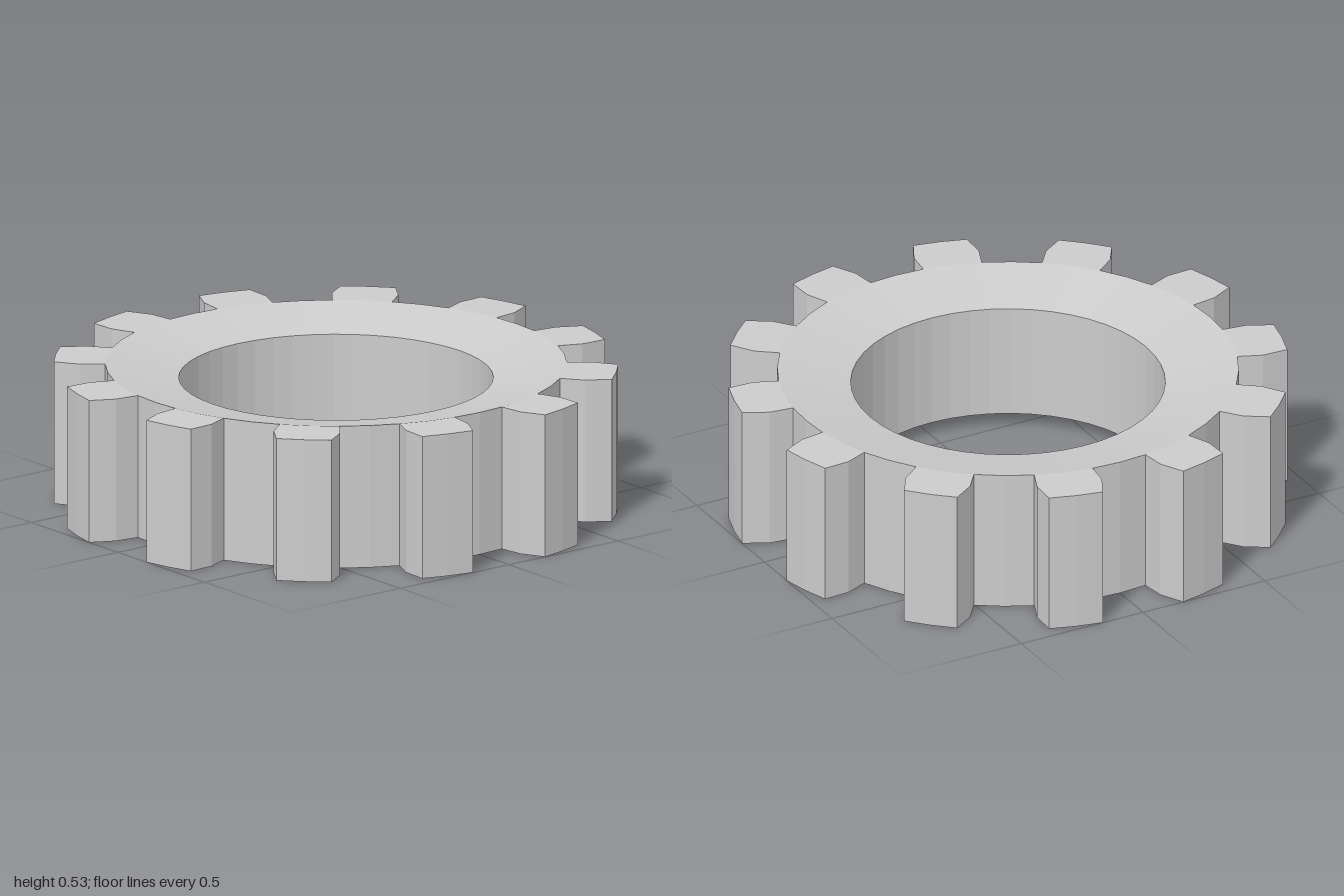
import * as THREE from 'three';

const TEETH = 12;
const HEIGHT = 0.53;
const DISH = 0.053; // how far the bore rims sink below the tooth faces
const R_BORE = 0.565, R_ROOT = 0.829, R_MID = 0.921, R_TIP = 1.0136;
const STEP = (Math.PI * 2) / (TEETH * 4);

// Point on a circle, angle measured from +z towards +x
const at = (r, angle, y) => [r * Math.sin(angle), y, r * Math.cos(angle)];

function quadGeometry(quads) {
  const pos = [];
  for (const [a, b, c, d] of quads) pos.push(...a, ...b, ...c, ...a, ...c, ...d);
  const g = new THREE.BufferGeometry();
  g.setAttribute('position', new THREE.Float32BufferAttribute(pos, 3));
  g.computeVertexNormals();
  return g;
}

// Upright walls along an outline of [radius, angle] pairs
function walls(outline) {
  return outline.slice(1).map((b, i) => {
    const a = outline[i];
    return [at(...a, 0), at(...b, 0), at(...b, HEIGHT), at(...a, HEIGHT)];
  });
}

// One tooth centred on +z: three rows of points from root to tapered tip
function toothGeometry() {
  const rows = [[R_ROOT, STEP], [R_MID, STEP], [R_TIP, STEP * 0.75]]
    .map(([r, half]) => [-half, 0, half].map((angle) => [r, angle]));
  const [root, mid, tip] = rows;
  const quads = walls([root[0], mid[0], ...tip, mid[2], root[2]]);
  for (let r = 0; r < 2; r++) {
    for (let i = 0; i < 2; i++) {
      const corners = [rows[r][i], rows[r + 1][i], rows[r + 1][i + 1], rows[r][i + 1]];
      quads.push(corners.map((p) => at(...p, HEIGHT)));
      quads.push(corners.map((p) => at(...p, 0)).reverse());
    }
  }
  return quadGeometry(quads);
}

export function createModel() {
  const group = new THREE.Group();
  group.name = 'gear';
  const material = new THREE.MeshStandardMaterial({ color: 0xcccccc, flatShading: true });

  const add = (name, geometry, angle = 0) => {
    const mesh = new THREE.Mesh(geometry, material);
    mesh.name = name;
    mesh.rotation.y = angle;
    group.add(mesh);
  };

  // Dished ring faces and the bore wall
  const profile = [
    [R_ROOT, HEIGHT], [R_BORE, HEIGHT - DISH], [R_BORE, DISH], [R_ROOT, 0],
  ].map(([x, y]) => new THREE.Vector2(x, y));
  add('ring', new THREE.LatheGeometry(profile, TEETH * 4));

  // Teeth alternating with the root walls between them
  const tooth = toothGeometry();
  const rootWall = quadGeometry(walls([[R_ROOT, -STEP], [R_ROOT, 0], [R_ROOT, STEP]]));
  for (let i = 0; i < TEETH; i++) {
    add('rootWall', rootWall, i * 4 * STEP);
    add('tooth', tooth, (i * 4 + 2) * STEP);
  }
  return group;
}
